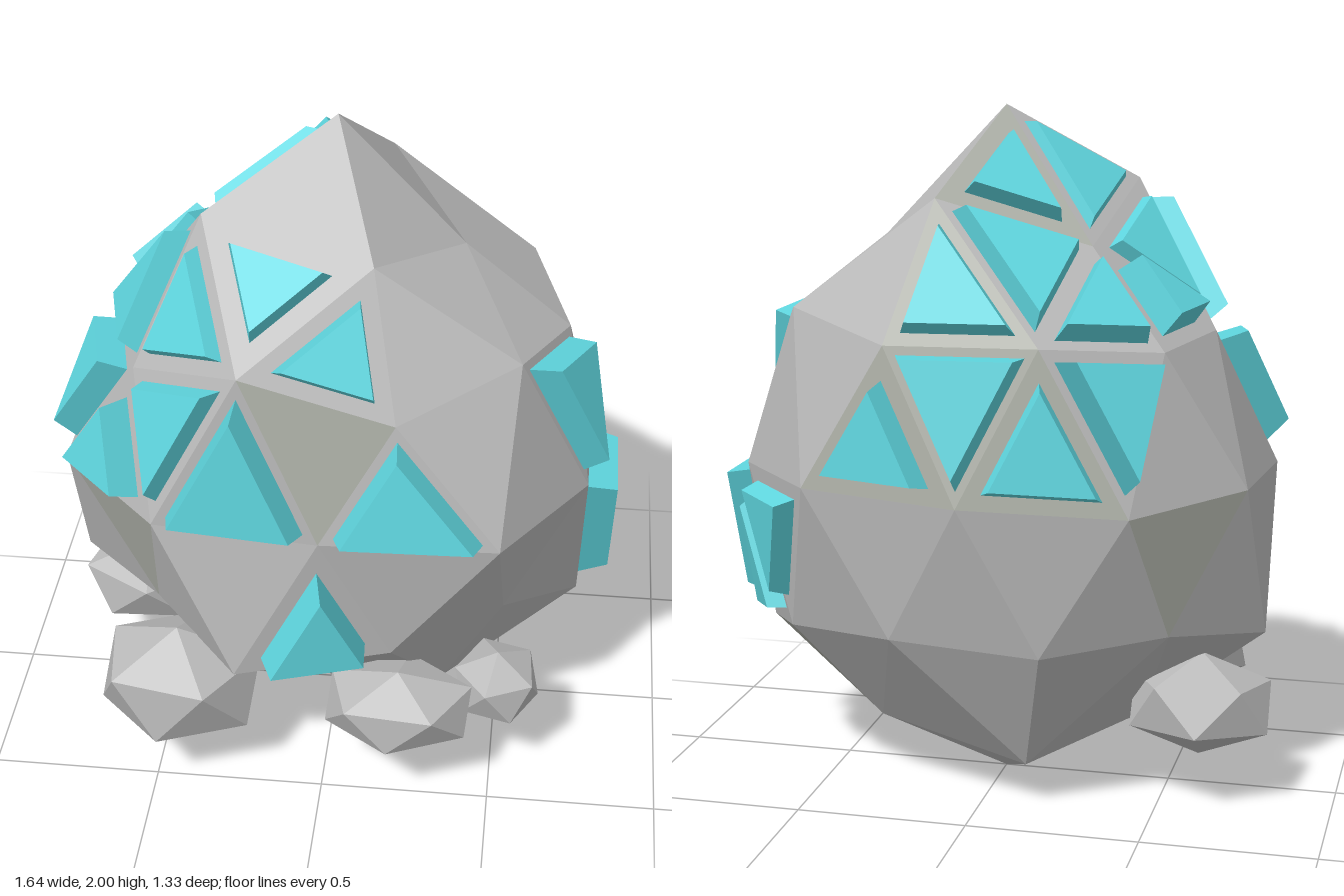
import * as THREE from 'three';

const stone = new THREE.MeshStandardMaterial({ color: 0xbababa, flatShading: true });
const mossStone = new THREE.MeshStandardMaterial({ color: 0xafb2a9, flatShading: true });
const crystal = new THREE.MeshStandardMaterial({ color: 0x5fd6df, flatShading: true });
stone.name = 'grey stone';
mossStone.name = 'olive grey stone';
crystal.name = 'teal crystal';

const CENTRE = new THREE.Vector3(0, 1, 0);

// Ring of points on an oval, given start angle in degrees, radii and heights
function ring(start, radii, heights) {
  return radii.map((r, i) => {
    const a = THREE.MathUtils.degToRad(start + (360 / radii.length) * i);
    return new THREE.Vector3(0.78 * r * Math.cos(a), heights[i], 0.6 * r * Math.sin(a));
  });
}

const T = new THREE.Vector3(0, 2, 0);
const D = new THREE.Vector3(0, 0, 0);
const R = ring(0, [0.46, 0.53, 0.56, 0.455, 0.54], [1.62, 1.7, 1.78, 1.62, 1.76]);
const U = ring(0, [0.85, 0.85, 0.86, 0.91, 0.86, 0.79, 0.82, 0.85, 0.92, 0.87],
  [1.37, 1.42, 1.32, 1.46, 1.34, 1.37, 1.35, 1.38, 1.38, 1.44]);
const E = ring(18, [1, 1.1, 0.92, 1.04, 1.05, 1, 1, 1, 1.03, 1],
  [0.95, 0.95, 0.95, 0.95, 0.95, 0.95, 0.92, 0.95, 0.96, 0.95]);
const L = ring(0, [0.94, 0.82, 0.84, 1.01, 0.81, 1, 0.86, 0.88, 0.9, 0.9],
  [0.43, 0.57, 0.52, 0.48, 0.52, 0.48, 0.54, 0.51, 0.54, 0.5]);
const B = ring(36, [0.54, 0.46, 0.53, 0.56, 0.53], [0.2, 0.27, 0.2, 0.13, 0.2]);

// All facets of the boulder, each with a short key
function facets() {
  const list = {};
  for (let k = 0; k < 5; k++) {
    const n = (k + 1) % 5, m = 2 * k;
    list['cap' + k] = [T, R[k], R[n]];
    list['gap' + k] = [R[k], R[n], U[m + 1]];
    list['fore' + k] = [R[k], U[m], U[m + 1]];
    list['aft' + k] = [R[k], U[(m + 9) % 10], U[m]];
    list['base' + k] = [D, B[k], B[n]];
    list['lowGap' + k] = [B[k], B[n], L[(m + 2) % 10]];
    list['lowFore' + k] = [B[k], L[m + 1], L[(m + 2) % 10]];
    list['lowAft' + k] = [B[k], L[m], L[m + 1]];
  }
  for (let m = 0; m < 10; m++) {
    const n = (m + 1) % 10, p = (m + 9) % 10;
    list['hang' + m] = [U[m], U[n], E[m]];
    list['rise' + m] = [U[m], E[p], E[m]];
    list['stand' + m] = [E[m], L[m], L[n]];
    list['drop' + m] = [L[m], E[p], E[m]];
  }
  // Turn every corner order outward
  for (const t of Object.values(list)) {
    const mid = centroid(t);
    if (normal(t).dot(mid.sub(CENTRE)) < 0) t.reverse();
  }
  return list;
}

function centroid(t) {
  return t[0].clone().add(t[1]).add(t[2]).divideScalar(3);
}

function normal([a, b, c]) {
  return b.clone().sub(a).cross(c.clone().sub(a)).normalize();
}

function meshFrom(triangles, material, name) {
  const g = new THREE.BufferGeometry().setFromPoints(triangles.flat());
  g.computeVertexNormals();
  const mesh = new THREE.Mesh(g, material);
  mesh.name = name;
  return mesh;
}

// Tapered triangular crystal growing from a facet
function crystalBlock(t, size, height) {
  const mid = centroid(t), lift = normal(t).multiplyScalar(height);
  const low = t.map(p => mid.clone().lerp(p, size));
  const top = t.map(p => mid.clone().lerp(p, size * 0.88).add(lift));
  const tris = [top];
  for (let i = 0; i < 3; i++) {
    const j = (i + 1) % 3;
    tris.push([low[i], low[j], top[j]], [low[i], top[j], top[i]]);
  }
  return meshFrom(tris, crystal, 'crystal');
}

// Facets that carry a crystal: share of the facet covered, height
const CRYSTALS = {
  cap2: [0.76, 0.03], cap3: [0.62, 0.05],
  gap1: [0.6, 0.05], gap2: [0.72, 0.04], gap3: [0.8, 0.06],
  fore1: [0.65, 0.065], fore2: [0.8, 0.065], fore3: [0.74, 0.07],
  aft2: [0.7, 0.045], aft3: [0.62, 0.09], aft4: [0.74, 0.05],
  hang0: [0.83, 0.088], hang3: [0.76, 0.055], hang4: [0.76, 0.085], hang6: [0.78, 0.12], hang7: [0.83, 0.085],
  rise2: [0.82, 0.088], rise3: [0.82, 0.08], rise4: [0.64, 0.09], rise7: [0.7, 0.05], rise8: [0.66, 0.075],
  stand2: [0.66, 0.11], stand9: [0.71, 0.055], drop0: [0.83, 0.088], drop9: [0.7, 0.06],
};
const MOSSY = ['hang2', 'drop4', 'drop6', 'lowGap4', 'lowFore4', 'base4',
  'rise7', 'hang7', 'cap3', 'aft4', 'rise8'];

export function createModel() {
  const model = new THREE.Group();
  model.name = 'crystalBoulder';

  // Boulder, split by stone colour
  const all = facets();
  const keys = Object.keys(all);
  model.add(meshFrom(keys.filter(k => !MOSSY.includes(k)).map(k => all[k]).concat(), stone, 'boulder'));
  model.add(meshFrom(MOSSY.map(k => all[k]), mossStone, 'boulderMossyFacets'));

  // Crystals
  const crystals = new THREE.Group();
  crystals.name = 'crystals';
  for (const [key, [size, height]] of Object.entries(CRYSTALS)) {
    crystals.add(crystalBlock(all[key], size, height));
  }
  model.add(crystals);

  // Small stones around the foot: position, half sizes, turn
  const stones = new THREE.Group();
  stones.name = 'footStones';
  [
    [[-0.43, 0.325, 0.42], [0.27, 0.207, 0.215], 0.1],
    [[-0.61, 0.29, -0.12], [0.235, 0.148, 0.2], 1.0],
    [[0.225, 0.315, 0.465], [0.245, 0.138, 0.17], 0.2],
    [[0.51, 0.305, 0.32], [0.14, 0.125, 0.145], 0.7],
  ].forEach(([pos, size, turn]) => {
    const g = new THREE.IcosahedronGeometry(1, 0);
    // One corner points up, with a slight tilt
    g.rotateZ(-0.553).rotateY(turn).rotateX(0.12).scale(...size);
    const mesh = new THREE.Mesh(g, stone);
    mesh.position.set(...pos);
    mesh.name = 'footStone';
    stones.add(mesh);
  });
  model.add(stones);
  return model;
}
